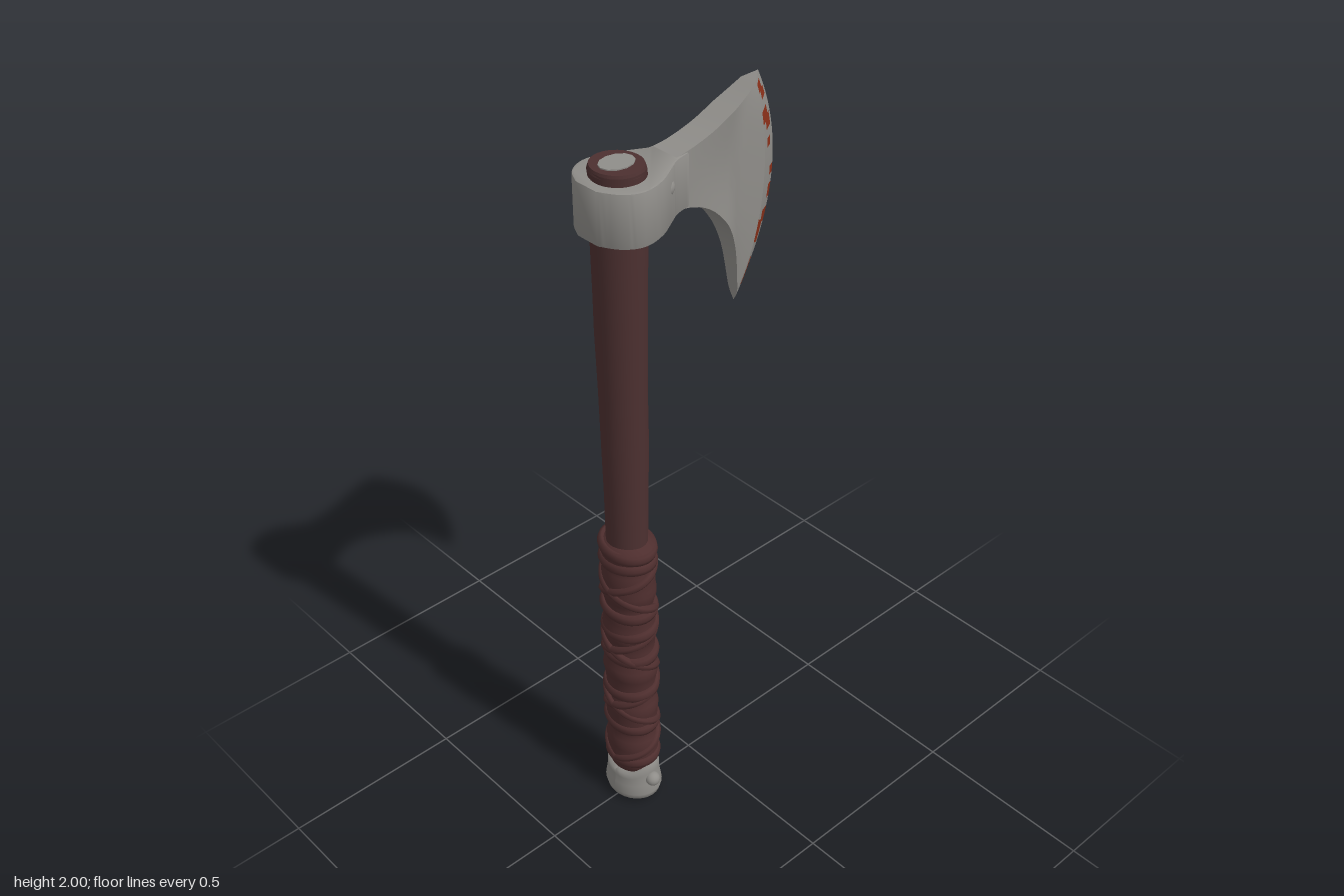
import * as THREE from 'three';
import { toCreasedNormals } from 'three/addons/utils/BufferGeometryUtils.js';

const mat = (name, color) => {
  const m = new THREE.MeshStandardMaterial({ color });
  m.name = name;
  return m;
};

const AXIS_Z = 0.21; // the handle stands forward of the centre

export function createModel() {
  const group = new THREE.Group();
  const metal = mat('worn steel', 0x8f8d89);
  const wood = mat('dark wood', 0x4c3030);
  const leather = mat('dark leather', 0x4e2e2e);
  const red = mat('dried red', 0x8a3019);

  const add = (name, geometry, material, x = 0, y = 0, z = 0) => {
    const mesh = new THREE.Mesh(geometry, material);
    mesh.name = name;
    mesh.position.set(x, y, z);
    group.add(mesh);
    return mesh;
  };
  const lathe = (pts, n = 32) =>
    new THREE.LatheGeometry(pts.map(p => new THREE.Vector2(...p)), n);

  // Handle: slightly uneven oval pole
  const pole = [[0.056, 0.1], [0.056, 0.9], [0.058, 1.05], [0.061, 1.2], [0.062, 1.35],
    [0.065, 1.5], [0.066, 1.62], [0.069, 1.75], [0.069, 1.925]];
  const shaftGeo = lathe(pole);
  const sp = shaftGeo.attributes.position;
  for (let i = 0; i < sp.count; i++) {
    const y = sp.getY(i), a = Math.atan2(sp.getZ(i), sp.getX(i));
    const k = 1 + 0.02 * Math.sin(3 * a + y * 9);
    sp.setXYZ(i, sp.getX(i) * k, y, sp.getZ(i) * k);
  }
  add('shaft', shaftGeo, wood, 0, 0, AXIS_Z).scale.z = 0.92;
  add('shaftTop', new THREE.CylinderGeometry(0.064, 0.068, 0.012, 32), wood, 0, 1.925, AXIS_Z).scale.z = 0.95;
  add('wedge', new THREE.CylinderGeometry(0.035, 0.035, 0.008, 12), metal, 0, 1.93, AXIS_Z).scale.z = 1.3;

  // Leather grip: rippled sleeve
  const sleeve = [[0.056, 0.1]];
  for (let i = 0; i <= 48; i++) {
    const y = 0.11 + i * 0.0162;
    sleeve.push([0.074 + 0.004 * Math.sin(y * 44) + 0.002 * Math.sin(y * 97), y]);
  }
  sleeve.push([0.054, 0.897]);
  add('gripSleeve', lathe(sleeve), leather, 0, 0, AXIS_Z).scale.z = 0.86;

  // Two straps wound in opposite directions, meeting at front and back
  for (const dir of [1, -1]) {
    const pts = [];
    for (let i = 0; i <= 84; i++) {
      const a = (i / 84) * Math.PI * 2 * 3.5;
      pts.push(new THREE.Vector3(
        dir * 0.072 * Math.sin(a), 0.15 + 0.7 * i / 84, AXIS_Z + 0.06 * Math.cos(a)));
    }
    add('crossStrap', new THREE.TubeGeometry(new THREE.CatmullRomCurve3(pts), 200, 0.0125, 7), leather);
  }

  // Level turns of the wrap
  [0.875, 0.835, 0.68, 0.61, 0.53, 0.4, 0.28, 0.15].forEach((y, i) => {
    const ring = new THREE.TorusGeometry(0.072, 0.013, 8, 32);
    ring.rotateX(Math.PI / 2).scale(1, 1.35, 0.83);
    const mesh = add('gripTurn', ring, leather, 0, y, AXIS_Z);
    mesh.rotation.z = (i % 2 ? 1 : -1) * 0.07;
    mesh.rotation.x = i > 1 ? 0.12 : 0;
  });

  // Pommel cap, its rim rising at both sides
  const capGeo = lathe([[0, 0], [0.066, 0.004], [0.08, 0.014], [0.085, 0.032],
    [0.08, 0.06], [0.077, 0.085], [0.077, 0.105], [0.06, 0.106]]);
  const cp = capGeo.attributes.position;
  for (let i = 0; i < cp.count; i++) {
    const x = cp.getX(i), z = cp.getZ(i), y = cp.getY(i);
    const side = x * x / (x * x + z * z + 1e-9);
    if (y > 0.05) cp.setY(i, y + (y - 0.05) * (0.55 * side * side - 0.05));
  }
  capGeo.computeVertexNormals();
  add('pommel', capGeo, metal, 0, 0, AXIS_Z).scale.z = 0.86;
  for (const s of [1, -1]) {
    add('pommelRivet', new THREE.SphereGeometry(0.021, 16, 10), metal, s * 0.08, 0.08, AXIS_Z);
    add('headRivet', new THREE.SphereGeometry(0.026, 16, 12), metal, s * 0.047 - 0.006, 1.855, 0.112);
  }

  // Socket: teardrop band around the handle top
  const outline = [[0.03, 0.293], [0.07, 0.27], [0.094, 0.24], [0.1, 0.205], [0.086, 0.155],
    [0.057, 0.105], [0.037, 0.07], [0.027, 0.03], [-0.046, 0.03], [-0.047, 0.07],
    [-0.063, 0.105], [-0.09, 0.16], [-0.101, 0.21], [-0.093, 0.245], [-0.072, 0.273], [-0.035, 0.293]];
  const band = new THREE.Shape();
  band.moveTo(outline[0][0], -outline[0][1]);
  band.splineThru(outline.slice(1, 8).map(([x, z]) => new THREE.Vector2(x, -z)));
  band.lineTo(outline[8][0], -outline[8][1]);
  band.splineThru(outline.slice(9).map(([x, z]) => new THREE.Vector2(x, -z)));
  const bandGeo = new THREE.ExtrudeGeometry(band, {
    depth: 0.125, bevelEnabled: true, bevelThickness: 0.005, bevelSize: 0.004, bevelSegments: 2, curveSegments: 5,
  });
  bandGeo.rotateX(-Math.PI / 2);
  add('socket', toCreasedNormals(bandGeo, 0.6), metal, 0, 1.775, 0);

  // Axe head: stations from neck to edge, as top and bottom outline points,
  // forward bow, half thickness and hollowing of the cheeks
  const curve = pts => new THREE.CatmullRomCurve3(
    pts.map(([z, y]) => new THREE.Vector3(0, y, z)), false, 'catmullrom', 0.5);
  const top = curve([[0.09, 1.904], [0.02, 1.908], [-0.06, 1.924], [-0.13, 1.949],
    [-0.18, 1.97], [-0.212, 1.986], [-0.245, 2]]);
  const bottom = curve([[0.09, 1.772], [0.025, 1.766], [-0.05, 1.732], [-0.115, 1.665],
    [-0.152, 1.58], [-0.171, 1.46], [-0.175, 1.42]]);
  const bow = [0, 0, 0, 0, 0.012, -0.046, -0.093];
  const half = [0.041, 0.038, 0.037, 0.036, 0.036, 0.036, 0];
  const hollow = [0, 0, 0.004, 0.01, 0, 0, 0];
  const mix = (list, s) => {
    const i = Math.min(5, Math.floor(s));
    return THREE.MathUtils.lerp(list[i], list[i + 1], s - i);
  };
  const headPoint = (s, v, side) => {
    const p = top.getPoint(s / 6).lerp(bottom.getPoint(s / 6), v);
    p.z += mix(bow, s) * 4 * v * (1 - v);
    const horn = s > 3 ? 1 - Math.min(1, (s - 3) / 2) * (0.55 * v ** 5 + 0.35 * (1 - v) ** 8) : 1;
    const w = mix(half, s) * horn - mix(hollow, s) * Math.sin(Math.PI * v);
    p.x = -0.0125 + 0.07 * p.z + side * w;
    return p;
  };

  // Skin over a range of stations; keep(u, v) picks the faces
  const N = 48;
  const skin = (s0, s1, rows, keep) => {
    const pos = [];
    const at = (i, j) => {
      const k = j % (2 * N + 2);
      const s = s0 + (s1 - s0) * i / rows;
      return k <= N ? headPoint(s, k / N, 1) : headPoint(s, (2 * N + 1 - k) / N, -1);
    };
    for (let i = 0; i < rows; i++) {
      for (let j = 0; j < 2 * N + 2; j++) {
        const v = ((j < N ? j : 2 * N - j) + 0.5) / N;
        if (!keep((i + 0.5) / rows, v)) continue;
        const a = at(i, j), b = at(i + 1, j), c = at(i + 1, j + 1), d = at(i, j + 1);
        for (const p of [a, d, c, a, c, b]) pos.push(p.x, p.y, p.z);
      }
    }
    const g = new THREE.BufferGeometry();
    g.setAttribute('position', new THREE.Float32BufferAttribute(pos, 3));
    return toCreasedNormals(g, 0.4);
  };

  // Stained patches on the ground edge: v from, v to, u from, u to
  const stains = [[0.02, 0.07, 0.2, 0.6], [0.06, 0.1, 0.4, 0.8], [0.14, 0.2, 0, 0.7],
    [0.18, 0.24, 0.3, 0.9], [0.3, 0.34, 0.3, 0.7], [0.44, 0.47, 0.6, 1], [0.53, 0.58, 0.6, 1],
    [0.62, 0.68, 0.4, 1], [0.66, 0.77, 0, 0.7], [0.83, 0.9, 0.2, 0.7], [0.89, 0.95, 0.1, 0.5]];
  const stained = (u, v) => stains.some(([a, b, c, d]) => v > a && v < b && u > c && u < d);
  add('bladeCheeks', skin(0, 5, 20, () => true), metal);
  add('cuttingEdge', skin(5, 6, 6, (u, v) => !stained(u, v)), metal);
  add('edgeStains', skin(5, 6, 6, stained), red);

  return group;
}
